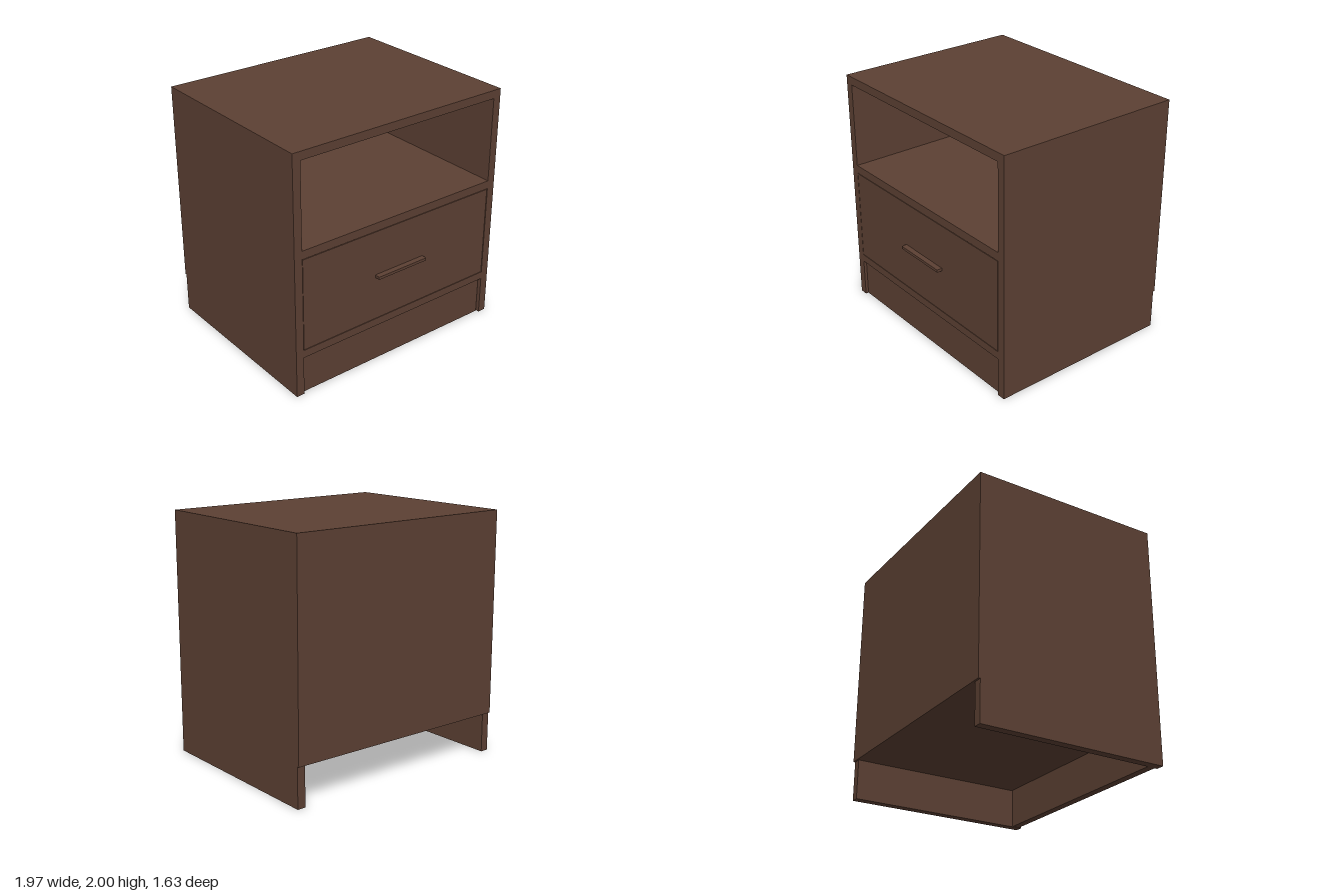
import * as THREE from 'three';

// Bedside cabinet: open shelf above one drawer, on a recessed plinth
export function createModel() {
  const model = new THREE.Group();
  model.name = 'bedsideCabinet';
  const wood = new THREE.MeshStandardMaterial({ color: 0x5c4033 });
  wood.name = 'dark brown wood';

  // Adds a board spanning the given [min, max] ranges
  function board(name, [x0, x1], [y0, y1], [z0, z1]) {
    const mesh = new THREE.Mesh(new THREE.BoxGeometry(x1 - x0, y1 - y0, z1 - z0), wood);
    mesh.name = name;
    mesh.position.set((x0 + x1) / 2, (y0 + y1) / 2, (z0 + z1) / 2);
    model.add(mesh);
  }

  const front = 0.77, back = -0.80, rear = -0.815;
  const outer = 0.985, inner = 0.917;
  const depth = [back, front], between = [-inner, inner];

  // Carcass
  board('topPanel', [-outer, outer], [1.932, 2], depth);
  board('leftSide', [inner, outer], [0, 1.932], depth);
  board('rightSide', [-outer, -inner], [0, 1.932], depth);
  board('backPanel', [-outer, outer], [0.327, 2], [rear, back]);
  board('shelf', between, [1.165, 1.233], depth);
  board('bottomPanel', between, [0.327, 0.392], depth);

  // Plinth, slightly recessed, with a narrow gap at its left end
  board('plinth', [-inner, 0.908], [0, 0.327], [0.68, 0.745]);

  // Drawer front with fine gaps around it, and its bar handle
  board('drawerFront', [-0.913, 0.91], [0.397, 1.16], [0.70, front]);
  board('drawerHandle', [-0.239, 0.236], [0.767, 0.79], [front, 0.815]);

  return model;
}
